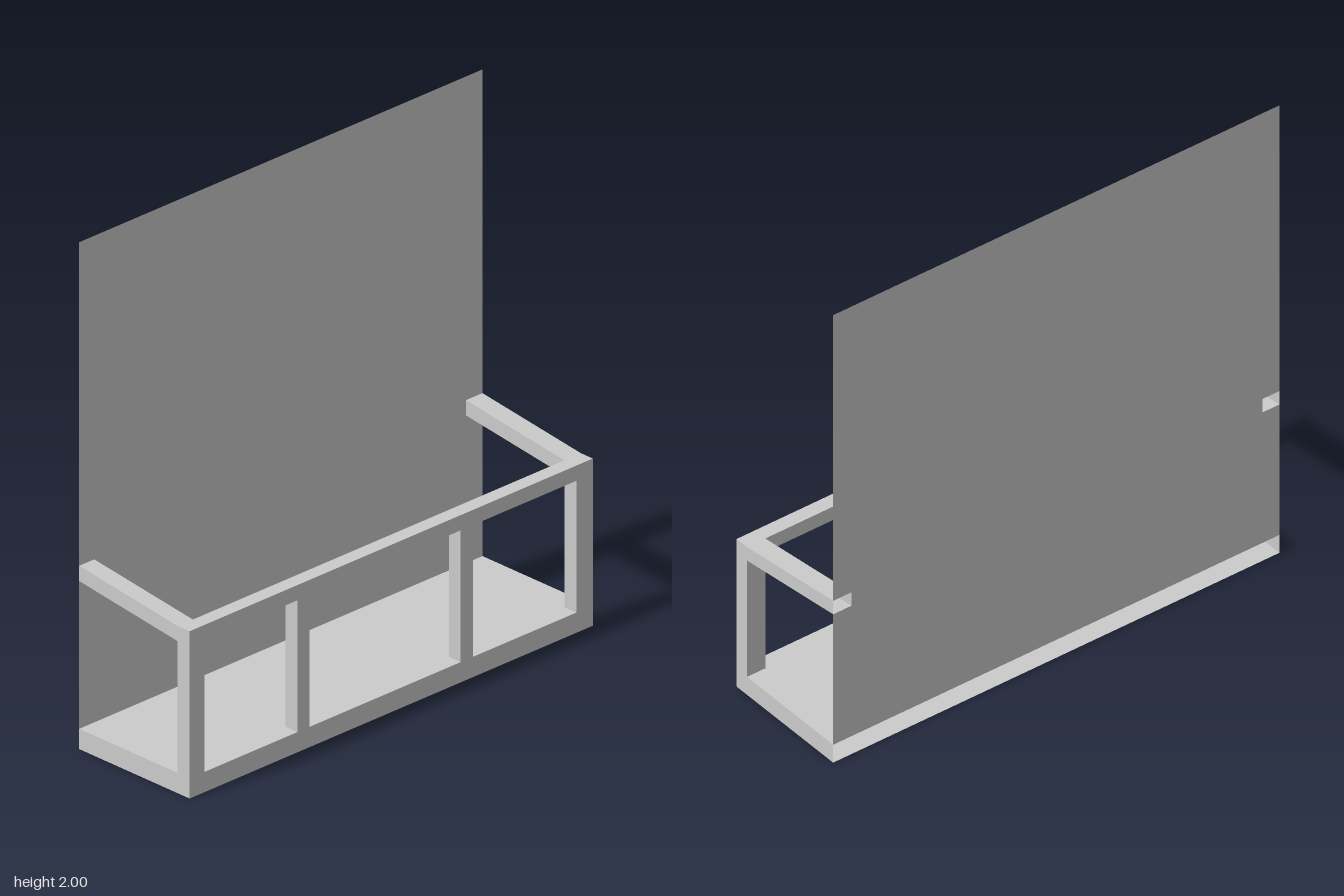
import * as THREE from 'three';

const BACK = -0.28, INNER = 0.22, FRONT = 0.28;
const Z_POS = 0.925, Z_NEG = -0.918; // inner faces of the side rails
const FLOOR = 0.08, RAIL = 0.06;

const material = new THREE.MeshStandardMaterial({
  color: 0xcccccc, flatShading: true, side: THREE.DoubleSide,
});

function add(group, name, geometry) {
  const mesh = new THREE.Mesh(geometry, material);
  mesh.name = name;
  group.add(mesh);
}

// Outline from [z, y] points; the shape is later turned to face +x
function outline(points) {
  return new THREE.Shape(points.map(([z, y]) => new THREE.Vector2(-z, y)));
}

// Hollow four-sided sleeve along x, open at the back, optionally closed at the front
function sleeve(x0, y0, x1, y1, height, z0, z1, capped) {
  const section = (x, y) => [x, y, z1, x, y, z0, x, y + height, z0, x, y + height, z1];
  const index = [];
  for (let i = 0; i < 4; i++) {
    const j = (i + 1) % 4;
    index.push(i, j, i + 4, j, j + 4, i + 4);
  }
  if (capped) index.push(4, 5, 6, 4, 6, 7);
  const geometry = new THREE.BufferGeometry();
  geometry.setAttribute('position',
    new THREE.Float32BufferAttribute([...section(x0, y0), ...section(x1, y1)], 3));
  geometry.setIndex(index);
  const flat = geometry.toNonIndexed();
  flat.computeVertexNormals();
  return flat;
}

export function createModel() {
  const model = new THREE.Group();
  model.name = 'balcony';

  // Floor slab, open where it meets the wall
  add(model, 'floorSlab', sleeve(BACK, 0, FRONT, 0, FLOOR, -1, 1, true));

  // Front railing: top rail and four posts as one comb-shaped frame
  const points = [[1, FLOOR], [1, 0.66], [-1, 0.66], [-1, FLOOR]];
  for (const [a, b] of [[Z_NEG, -0.405], [-0.345, 0.405], [0.465, Z_POS]]) {
    points.push([a, FLOOR], [a, 0.6], [b, 0.6], [b, FLOOR]);
  }
  const frame = new THREE.ExtrudeGeometry(outline(points),
    { depth: FRONT - INNER, bevelEnabled: false });
  frame.rotateY(Math.PI / 2).translate(INNER, 0, 0);
  add(model, 'frontRailing', frame);

  // Sloping hollow side rails
  add(model, 'leftSideRail', sleeve(BACK, 0.663, INNER, 0.6, RAIL, Z_POS, 1, false));
  add(model, 'rightSideRail', sleeve(BACK, 0.663, INNER, 0.6, RAIL, -1, Z_NEG, false));

  // Thin wall, notched where the side rails enter it
  const low = 0.663, high = low + RAIL;
  const wall = new THREE.ShapeGeometry(outline([
    [1, FLOOR], [1, low], [Z_POS, low], [Z_POS, high], [1, high], [1, 2],
    [-1, 2], [-1, high], [Z_NEG, high], [Z_NEG, low], [-1, low], [-1, FLOOR],
  ]));
  wall.rotateY(Math.PI / 2).translate(BACK, 0, 0);
  add(model, 'wall', wall);

  return model;
}
